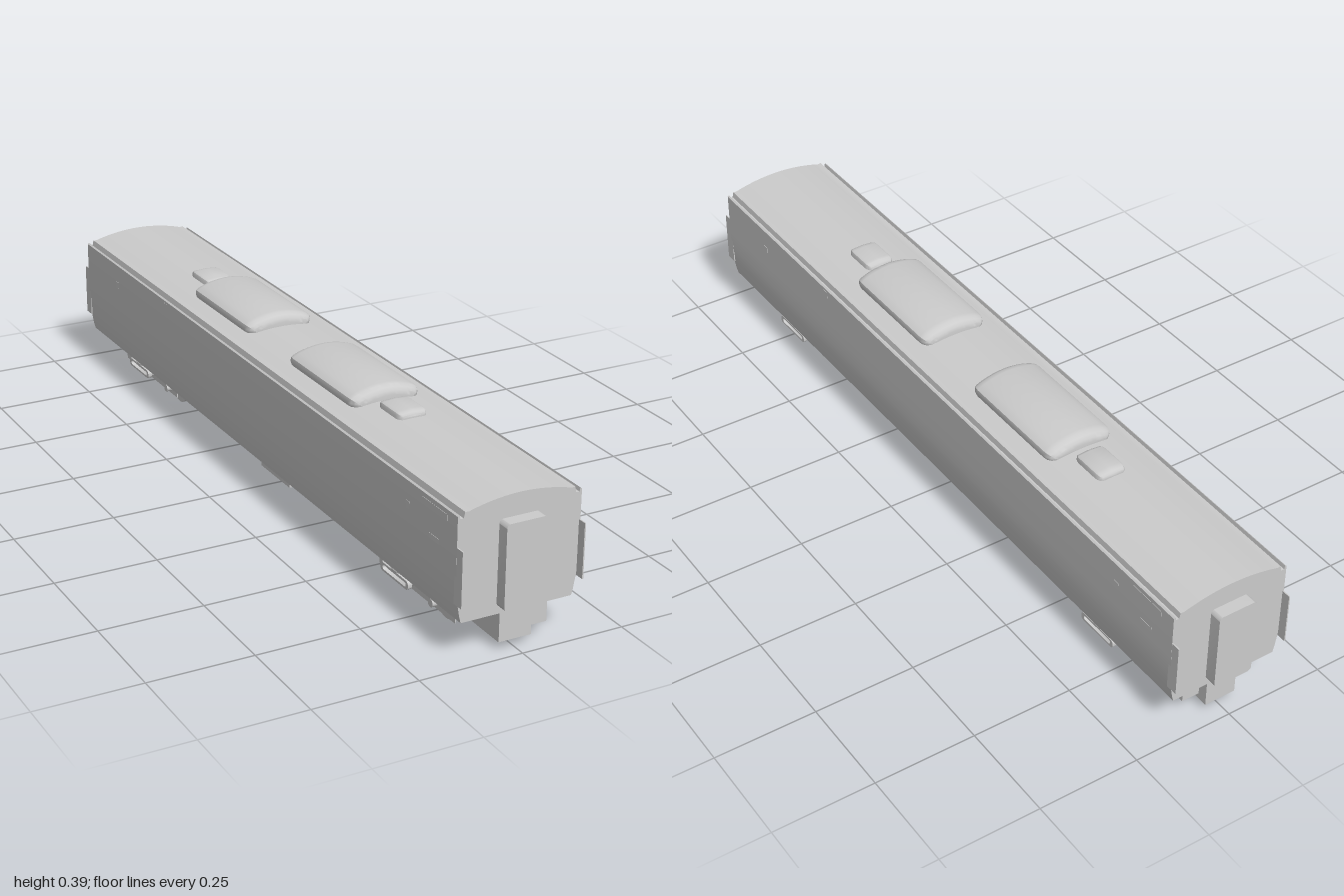
import * as THREE from 'three';
import { toCreasedNormals } from 'three/addons/utils/BufferGeometryUtils.js';

const grey = new THREE.MeshStandardMaterial({ color: 0xcccccc, side: THREE.DoubleSide });

function add(parent, name, geo, x = 0, y = 0, z = 0) {
  const m = new THREE.Mesh(geo, grey);
  m.name = name;
  m.position.set(x, y, z);
  parent.add(m);
  return m;
}

// box given by its limits
function box(parent, name, x0, x1, y0, y1, z0, z1) {
  return add(parent, name, new THREE.BoxGeometry(x1 - x0, y1 - y0, z1 - z0),
    (x0 + x1) / 2, (y0 + y1) / 2, (z0 + z1) / 2);
}

// closed cross-section mirrored from its right half (listed bottom to top)
function mirrored(half) {
  const left = half.filter(p => p[0] > 0).reverse().map(([x, y]) => [-x, y]);
  return new THREE.Shape([...half, ...left].map(([x, y]) => new THREE.Vector2(x, y)));
}

// points of an arched top from x = w down to the centre line
function arch(w, yEdge, yTop, n = 10) {
  return Array.from({ length: n + 1 }, (_, i) => {
    const x = w * (1 - i / n);
    return [x, yTop - (yTop - yEdge) * (x / w) ** 2];
  });
}

function extrude(shape, z0, z1, bevelZ = 0, bevelXY = 0) {
  const g = new THREE.ExtrudeGeometry(shape, {
    depth: z1 - z0 - 2 * bevelZ, bevelEnabled: bevelZ > 0, bevelThickness: bevelZ,
    bevelSize: bevelXY, bevelOffset: -bevelXY, bevelSegments: 4, curveSegments: 6,
  });
  g.translate(0, 0, z0 + bevelZ);
  return toCreasedNormals(g, 0.6);
}

function roundRect(w, h, r) {
  const s = new THREE.Shape(), a = w / 2 - r, b = h / 2 - r;
  s.absarc(a, b, r, 0, Math.PI / 2);
  s.absarc(-a, b, r, Math.PI / 2, Math.PI);
  s.absarc(-a, -b, r, Math.PI, Math.PI * 1.5);
  s.absarc(a, -b, r, Math.PI * 1.5, Math.PI * 2);
  return s;
}

// wheelset pair with side frames and air springs, centred on z
function bogie(z) {
  const g = new THREE.Group();
  g.name = 'bogie';
  g.position.z = z;
  const bag = [[0, -0.006], [0.028, -0.006], [0.033, -0.003], [0.034, 0], [0.033, 0.003], [0.028, 0.006], [0, 0.006]]
    .map(p => new THREE.Vector2(...p));
  for (const s of [-1, 1]) {
    for (const dz of [-0.105, 0.105]) {
      add(g, 'wheel', new THREE.CylinderGeometry(0.045, 0.045, 0.007, 32), s * 0.058, 0.045, dz).rotation.z = Math.PI / 2;
      add(g, 'axleEnd', new THREE.CylinderGeometry(0.01, 0.01, 0.065, 16), s * 0.069, 0.045, dz).rotation.z = Math.PI / 2;
    }
    add(g, 'sideFrame', new THREE.BoxGeometry(0.002, 0.063, 0.325), s * 0.085, 0.0595, 0.02 * Math.sign(z));
    add(g, 'airSpring', new THREE.LatheGeometry(bag, 28), s * 0.101, 0.085, 0);
    // suspension loop under the spring
    const loop = roundRect(0.12, 0.021, 0.009);
    loop.holes.push(roundRect(0.1, 0.011, 0.005));
    const ring = add(g, 'suspensionLoop', extrude(loop, -0.005, 0.005), s * 0.126, 0.07, 0);
    ring.rotation.y = Math.PI / 2;
    add(g, 'springSeat', new THREE.BoxGeometry(0.035, 0.008, 0.05), s * 0.105, 0.077, 0);
    add(g, 'damperArm', new THREE.BoxGeometry(0.016, 0.025, 0.05), s * 0.107, 0.064, 0);
    add(g, 'crossArm', new THREE.CylinderGeometry(0.008, 0.008, 0.05, 14), s * 0.09, 0.062, 0.03).rotation.z = Math.PI / 2;
  }
  return g;
}

export function createModel() {
  const model = new THREE.Group();
  model.name = 'railCoach';

  // body shell with rain gutters and arched roof
  const bodyHalf = [[0.136, 0.09], [0.14, 0.105], [0.146, 0.14], [0.149, 0.18], [0.15, 0.22], [0.15, 0.335],
    [0.146, 0.338], [0.144, 0.329], [0.136, 0.329], [0.133, 0.343], ...arch(0.125, 0.342, 0.36)];
  add(model, 'bodyShell', extrude(mirrored(bodyHalf), -0.97, 0.97));

  // roof units
  const bigHalf = [[0.075, 0.335], [0.085, 0.35], [0.088, 0.36], [0.086, 0.37], [0.078, 0.376], ...arch(0.068, 0.38, 0.392)];
  for (const [a, b] of [[-0.43, -0.105], [0.093, 0.418]])
    add(model, 'airConditioner', extrude(mirrored(bigHalf), a, b, 0.028, 0.022));
  const smallHalf = [[0.037, 0.34], [0.037, 0.366], [0.035, 0.371], [0.03, 0.374], [0, 0.376]];
  for (const [a, b] of [[-0.55, -0.45], [0.436, 0.536]])
    add(model, 'roofVent', extrude(mirrored(smallHalf), a, b, 0.02, 0.012));

  // ends and side fittings: the same from either end, half a turn apart
  for (const turn of [0, Math.PI]) {
    const end = new THREE.Group();
    end.name = turn ? 'rearFittings' : 'frontFittings';
    end.rotation.y = turn;
    model.add(end);
    add(end, 'gangwayDoor', extrude(roundRect(0.1, 0.201, 0.01), 0.965, 1), 0, 0.2075, 0);
    for (const s of [-1, 1])
      add(end, 'cornerPlate', new THREE.BoxGeometry(0.003, 0.13, 0.03), s * 0.148, 0.2, 0.977);
    box(end, 'signPanel', 0.148, 0.1508, 0.309, 0.324, -0.93, -0.83);
    box(end, 'smallPanel', 0.148, 0.1508, 0.243, 0.254, -0.9, -0.86);
    for (const [y, z] of [[0.28, 0.77], [0.32, 0.46], [0.28, -0.77]])
      box(end, 'sideLamp', 0.148, 0.1508, y - 0.009, y + 0.009, z - 0.008, z + 0.008);
  }

  // underframe equipment
  box(model, 'centreBeam', -0.04, 0.04, 0.02, 0.092, -0.965, 0.968);
  box(model, 'frontEquipmentBox', 0.04, 0.085, 0.035, 0.092, 0.905, 0.957);
  box(model, 'rearEquipmentBox', 0.04, 0.085, 0.035, 0.092, -0.94, -0.89);
  box(model, 'batteryBox', 0.04, 0.085, 0.02, 0.092, 0.268, 0.46);
  box(model, 'controlBox', -0.085, -0.04, 0.03, 0.092, -0.05, 0.1);
  const tank = add(model, 'airTank', new THREE.CapsuleGeometry(0.022, 0.076, 6, 20), 0.075, 0.07, -0.385);
  tank.rotation.x = Math.PI / 2;

  model.add(bogie(0.685), bogie(-0.685));
  return model;
}
